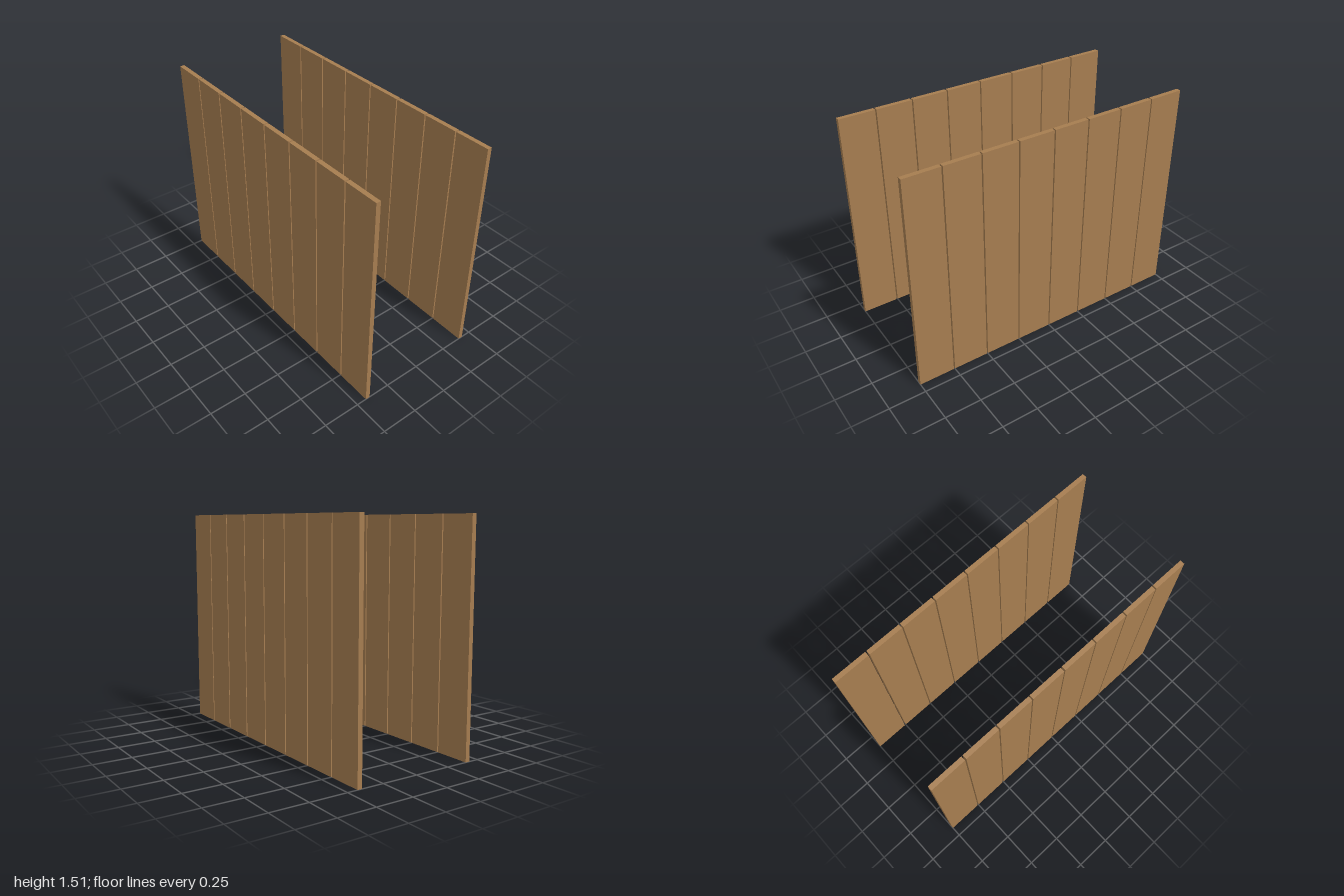
import * as THREE from 'three';

const COUNT = 8, GAP = 0.009, HEIGHT = 1.51, DEPTH = 0.031;
const WIDTH = (2 - GAP * (COUNT - 1)) / COUNT;

export function createModel() {
  const model = new THREE.Group();
  model.name = 'plankWalls';
  const wood = new THREE.MeshStandardMaterial({ color: 0xa67d50 });
  wood.name = 'brown wood';
  const board = new THREE.BoxGeometry(WIDTH, HEIGHT, DEPTH);

  // One row of upright boards, separated by narrow gaps
  const addWall = (name, z) => {
    const wall = new THREE.Group();
    wall.name = name;
    for (let i = 0; i < COUNT; i++) {
      const plank = new THREE.Mesh(board, wood);
      plank.name = `plank${i + 1}`;
      plank.position.set(-1 + WIDTH / 2 + i * (WIDTH + GAP), HEIGHT / 2, z);
      wall.add(plank);
    }
    model.add(wall);
  };

  addWall('frontWall', 0.416);
  addWall('backWall', -0.416);
  return model;
}
